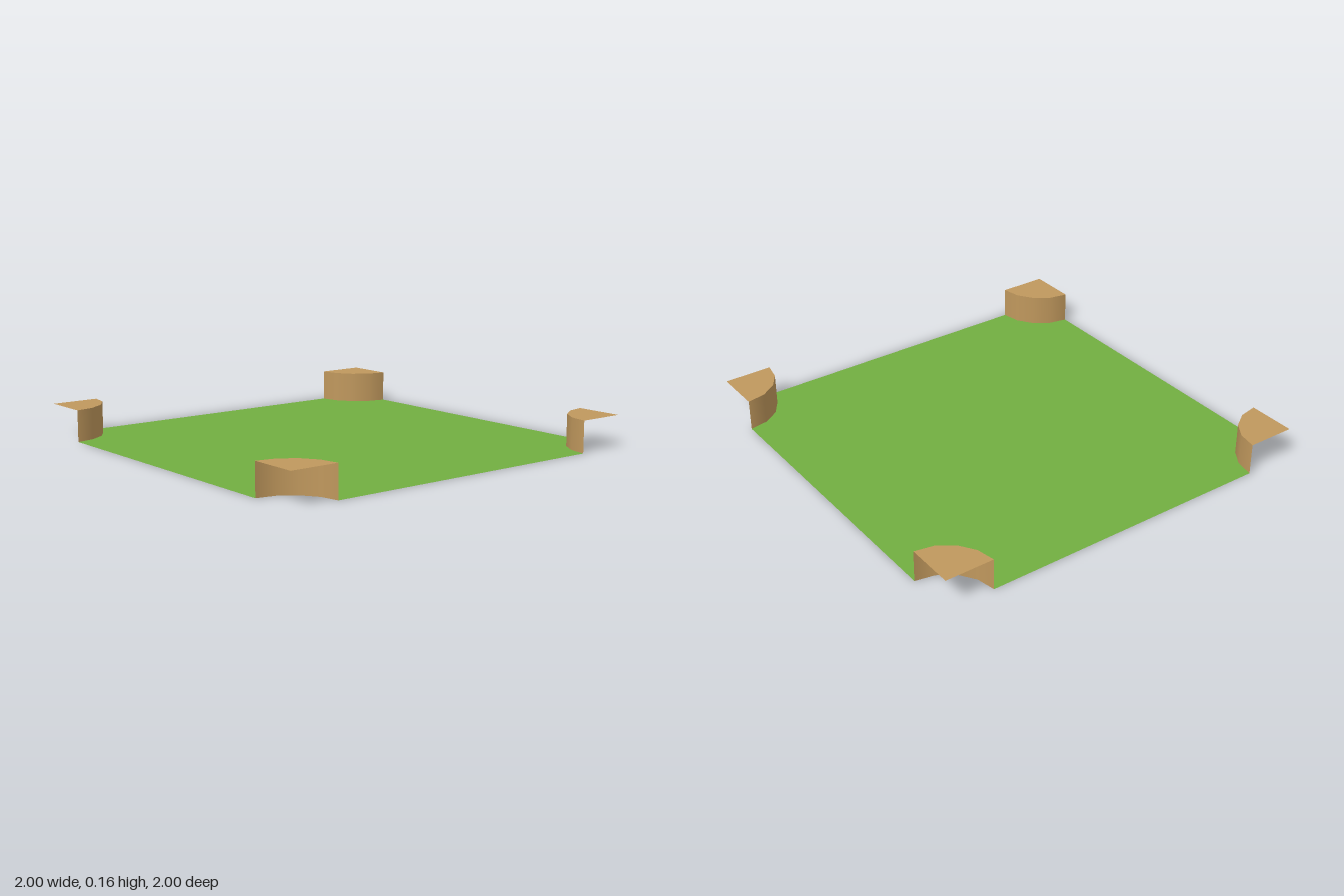
import * as THREE from 'three';

const RADIUS = 0.246;   // quarter-round corner radius
const HEIGHT = 0.16;    // height of the raised corners
const QUARTER = Math.PI / 2;

export function createModel() {
  const grass = new THREE.MeshStandardMaterial({ color: 0x72ae41, side: THREE.DoubleSide });
  grass.name = 'grass green';
  const earth = new THREE.MeshStandardMaterial({ color: 0xc0985d, side: THREE.DoubleSide });
  earth.name = 'earth tan';

  const model = new THREE.Group();
  model.name = 'groundTile';

  function addMesh(parent, name, geometry, material) {
    const mesh = new THREE.Mesh(geometry, material);
    mesh.name = name;
    parent.add(mesh);
    return mesh;
  }

  // Flat square of grass with a quarter circle cut from each corner
  const outline = new THREE.Shape();
  outline.moveTo(1, 1 - RADIUS);
  [[1, 1], [-1, 1], [-1, -1], [1, -1]].forEach(([x, y], i) => {
    outline.absarc(x, y, RADIUS, (3 + i) * QUARTER, (2 + i) * QUARTER, true);
  });
  outline.closePath();
  addMesh(model, 'grassField', new THREE.ShapeGeometry(outline, 2).rotateX(-QUARTER), grass);

  // Raised corners: a curved open wall and a flat quarter-round top
  const wall = new THREE.CylinderGeometry(RADIUS, RADIUS, HEIGHT, 4, 1, true, Math.PI, QUARTER)
    .translate(1, HEIGHT / 2, 1);
  const top = new THREE.CircleGeometry(RADIUS, 4, QUARTER, QUARTER)
    .rotateX(-QUARTER).translate(1, HEIGHT, 1);
  ['frontLeft', 'backLeft', 'backRight', 'frontRight'].forEach((name, i) => {
    const corner = new THREE.Group();
    corner.name = name + 'Corner';
    addMesh(corner, name + 'Wall', wall, earth);
    addMesh(corner, name + 'Top', top, earth);
    corner.rotation.y = i * QUARTER;
    model.add(corner);
  });

  return model;
}
